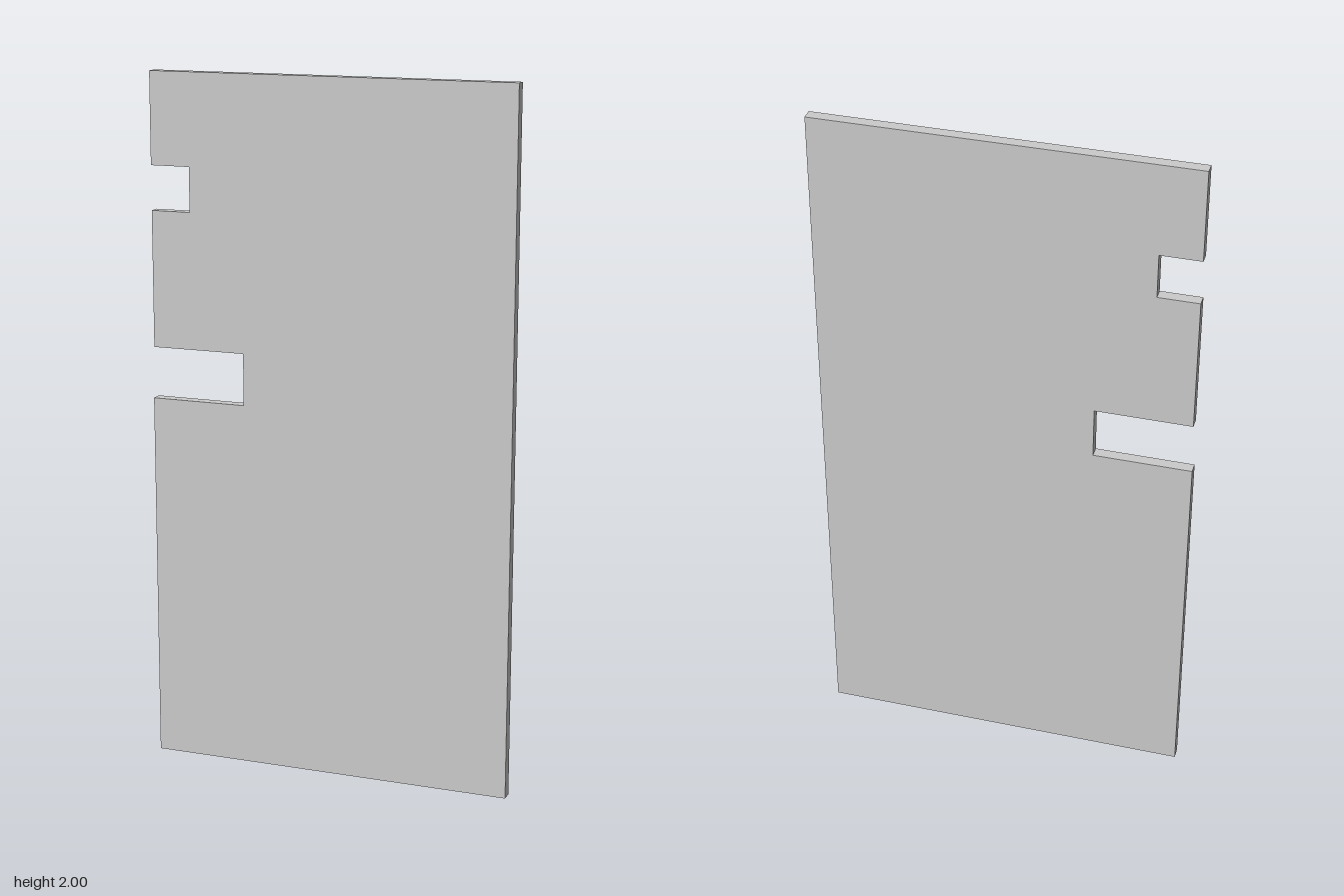
import * as THREE from 'three';

const THICKNESS = 0.033;

export function createModel() {
  const group = new THREE.Group();
  group.name = 'notchedPanel';

  // Panel outline, counter-clockwise, with two slots cut into the -x edge
  const outline = [
    [-0.533, 0], [0.533, 0], [0.533, 2], [-0.529, 2],
    [-0.529, 1.738], [-0.413, 1.738], [-0.413, 1.611], [-0.529, 1.611], // upper slot
    [-0.529, 1.22], [-0.255, 1.22], [-0.255, 1.071], [-0.533, 1.071], // lower slot
  ];
  const shape = new THREE.Shape(outline.map(([x, y]) => new THREE.Vector2(x, y)));

  const geometry = new THREE.ExtrudeGeometry(shape, { depth: THICKNESS, bevelEnabled: false });
  geometry.translate(0, 0, -THICKNESS / 2);

  const panel = new THREE.Mesh(geometry, new THREE.MeshStandardMaterial({ color: 0xcccccc }));
  panel.name = 'panel';
  group.add(panel);
  return group;
}
